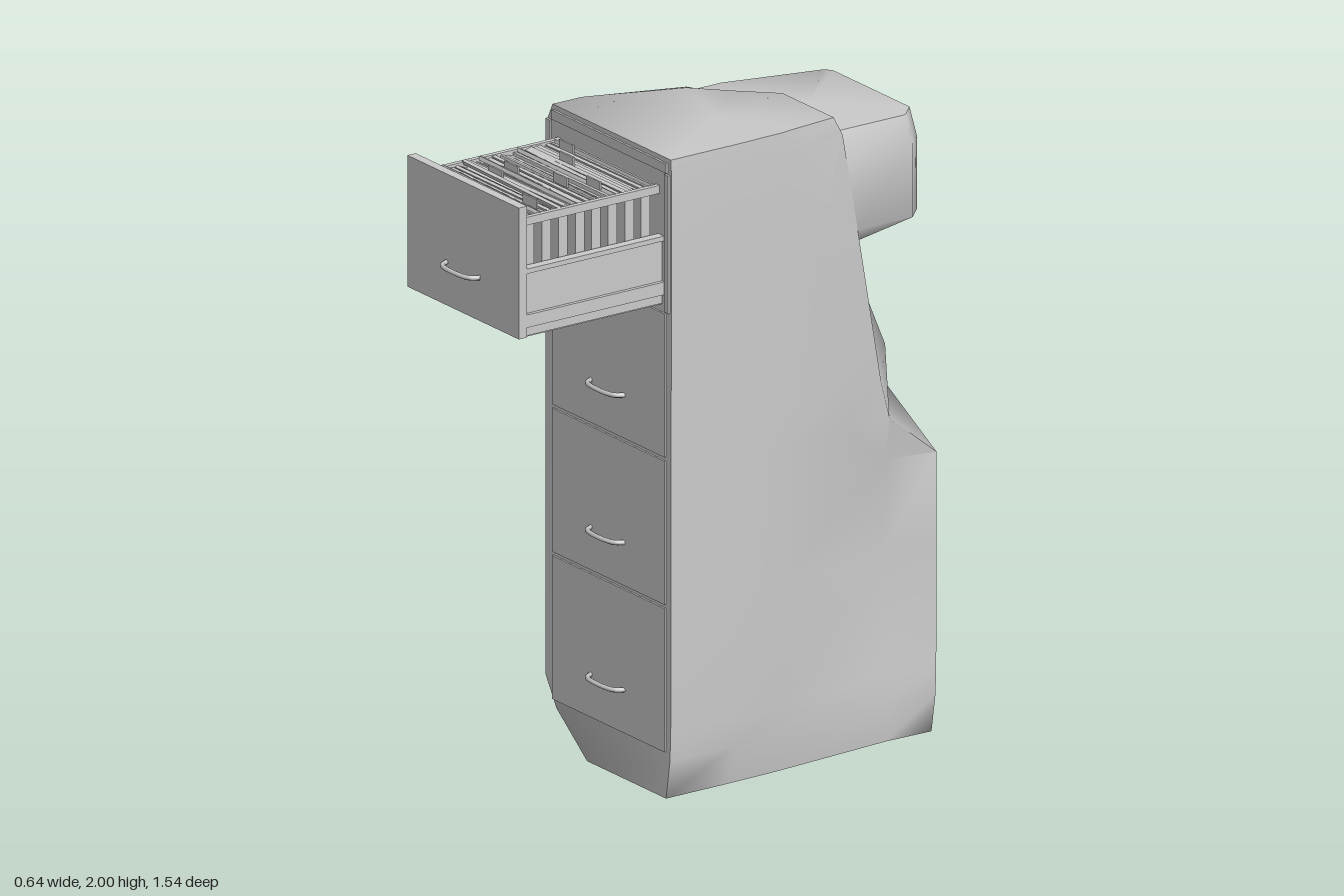
import * as THREE from 'three';
import { toCreasedNormals } from 'three/addons/utils/BufferGeometryUtils.js';

const grey = new THREE.MeshStandardMaterial({ color: 0xcccccc, side: THREE.DoubleSide });

function add(parent, name, geometry, x = 0, y = 0, z = 0) {
  const mesh = new THREE.Mesh(geometry, grey);
  mesh.name = name;
  mesh.position.set(x, y, z);
  parent.add(mesh);
  return mesh;
}

const box = (parent, name, w, h, d, x, y, z) =>
  add(parent, name, new THREE.BoxGeometry(w, h, d), x, y, z);

// Closed skin through horizontal rings, listed from bottom to top
function loft(rings, crease) {
  const pos = [];
  const tri = (...pts) => pts.forEach((p) => pos.push(...p));
  const n = rings[0].length;
  for (let r = 0; r < rings.length - 1; r++) {
    for (let i = 0; i < n; i++) {
      const j = (i + 1) % n;
      const [a, b, c, d] = [rings[r][i], rings[r][j], rings[r + 1][j], rings[r + 1][i]];
      tri(a, b, c);
      tri(a, c, d);
    }
  }
  const cap = (ring, up) => {
    const mid = [0, 1, 2].map((k) => ring.reduce((s, p) => s + p[k], 0) / n);
    for (let i = 0; i < n; i++) {
      const j = (i + 1) % n;
      if (up) tri(mid, ring[i], ring[j]);
      else tri(mid, ring[j], ring[i]);
    }
  };
  cap(rings[0], false);
  cap(rings[rings.length - 1], true);
  const g = new THREE.BufferGeometry();
  g.setAttribute('position', new THREE.Float32BufferAttribute(pos, 3));
  g.computeVertexNormals();
  return toCreasedNormals(g, crease);
}

// Cabinet cross-section: flat front, pinched +x side, slanted back corner;
// lift raises or lowers the slanted corner, cut trims the front -x corner
function bodyRing([y, xp, xn, back, backP, backN, pinch, lift = 0, cut = 0]) {
  return [
    [xp, 0.205], [xp, -0.02], [xp - 0.004, -0.2], [xp - pinch, backP + 0.16], [xp - 0.025, backP],
    [0.03, back], [xn * 0.5, (back + backN) / 2, lift * 0.6], [xn, backN, lift],
    [xn, 0.1], [xn + cut, 0.205],
  ].map(([x, z, dy = 0]) => [x, y + dy, z]);
}

// Overhanging lump cross-section, skewed and lifted at its -x side
function lumpRing([y, xp, xn, xnBack, front, back, lift = 0]) {
  return [
    [xp, front], [xp, (front + back) / 2], [xp, back + 0.05], [xp - 0.05, back],
    [xnBack + 0.02, back, lift], [xnBack, back + 0.02, lift], [xn, -0.4, lift], [xn, front, lift],
  ].map(([x, z, dy = 0]) => [x, y + dy, z]);
}

function handle(parent, y, z) {
  const curve = new THREE.CatmullRomCurve3([
    [-0.085, 0], [-0.07, 0.025], [-0.04, 0.035], [0.04, 0.035], [0.07, 0.025], [0.085, 0],
  ].map(([x, d]) => new THREE.Vector3(x, 0, d)));
  add(parent, 'handle', new THREE.TubeGeometry(curve, 18, 0.008, 6), 0, y, z);
}

export function createModel() {
  const model = new THREE.Group();
  model.name = 'filingCabinet';

  // Cabinet shell: y, +x side, -x side, back z at middle / +x / -x, pinch, lift, cut
  add(model, 'cabinetBody', loft([
    [0, 0.29, -0.19, -0.77, -0.77, -0.58, 0.03, 0.18, 0.08],
    [0.12, 0.31, -0.265, -0.77, -0.77, -0.6, 0.04, 0.1],
    [0.21, 0.314, -0.32, -0.77, -0.77, -0.6, 0.06, 0.03],
    [0.6, 0.316, -0.32, -0.77, -0.77, -0.57, 0.07],
    [0.88, 0.316, -0.32, -0.77, -0.77, -0.54, 0.06],
    [1.02, 0.316, -0.32, -0.77, -0.6, -0.53, 0.03],
    [1.14, 0.316, -0.32, -0.77, -0.57, -0.52, 0.02],
    [1.6, 0.318, -0.32, -0.58, -0.49, -0.43, 0.02],
    [1.94, 0.318, -0.315, -0.45, -0.43, -0.3, 0.01],
    [2, 0.315, -0.285, -0.4, -0.4, -0.28, 0.01, -0.05],
  ].map(bodyRing), 1.45));

  // Lump hanging over the back: y, +x side, -x side, -x side at back, front z, back z, lift
  add(model, 'backOverhang', loft([
    [1.57, 0.25, -0.28, -0.25, -0.3, -0.5, 0.06],
    [1.63, 0.29, -0.29, -0.29, -0.25, -0.735, 0.09],
    [1.86, 0.29, -0.29, -0.28, -0.22, -0.735],
    [1.942, 0.26, -0.28, -0.2, -0.2, -0.73],
  ].map(lumpRing), 1.2));

  // Closed drawer fronts
  const edges = [0.14, 0.6, 1.06, 1.52];
  for (let i = 0; i < 3; i++) {
    const h = edges[i + 1] - edges[i] - 0.012;
    box(model, 'drawerFront', 0.57, h, 0.012, 0.005, (edges[i] + edges[i + 1]) / 2, 0.205);
    handle(model, [0.28, 0.74, 1.2][i], 0.207);
  }

  // Frame around the open drawer
  for (const s of [-1, 1]) box(model, 'framePost', 0.022, 0.43, 0.012, s * 0.3, 1.735, 0.206);
  box(model, 'frameTop', 0.58, 0.03, 0.012, 0.01, 1.97, 0.206);

  // Open drawer
  const drawer = new THREE.Group();
  drawer.name = 'openDrawer';
  model.add(drawer);
  box(drawer, 'openDrawerFront', 0.565, 0.41, 0.03, 0, 1.745, 0.715);
  box(drawer, 'drawerFloor', 0.53, 0.015, 0.5, 0, 1.543, 0.45);
  for (const s of [-1, 1]) {
    box(drawer, 'drawerSide', 0.015, 0.2, 0.5, s * 0.262, 1.64, 0.45);
    box(drawer, 'slideRail', 0.015, 0.04, 0.5, s * 0.274, 1.59, 0.45);
    box(drawer, 'sideLip', 0.03, 0.015, 0.5, s * 0.265, 1.745, 0.45);
    box(drawer, 'hangingRail', 0.016, 0.025, 0.5, s * 0.25, 1.892, 0.45);
  }
  handle(drawer, 1.675, 0.73);

  // Hanging files, slightly uneven
  let seed = 7;
  const rand = () => (seed = (seed * 16807) % 2147483647) / 2147483647 - 0.5;
  for (let i = 0; i < 8; i++) {
    const z = 0.245 + i * 0.06;
    const file = box(drawer, 'file', 0.49, 0.33, 0.032, 0, 1.72, z);
    file.rotation.y = rand() * 0.02;
    for (const d of [-0.022, -0.008, 0.008, 0.022]) {
      const fold = box(drawer, 'fileTopEdge', 0.49, 0.012, 0.012, 0, 1.893 + rand() * 0.02, z + d);
      fold.rotation.set(rand(), rand() * 0.02, rand() * 0.02);
    }
    box(drawer, 'fileTab', 0.07, 0.03, 0.006, rand() * 0.35, 1.912, z);
  }
  return model;
}
